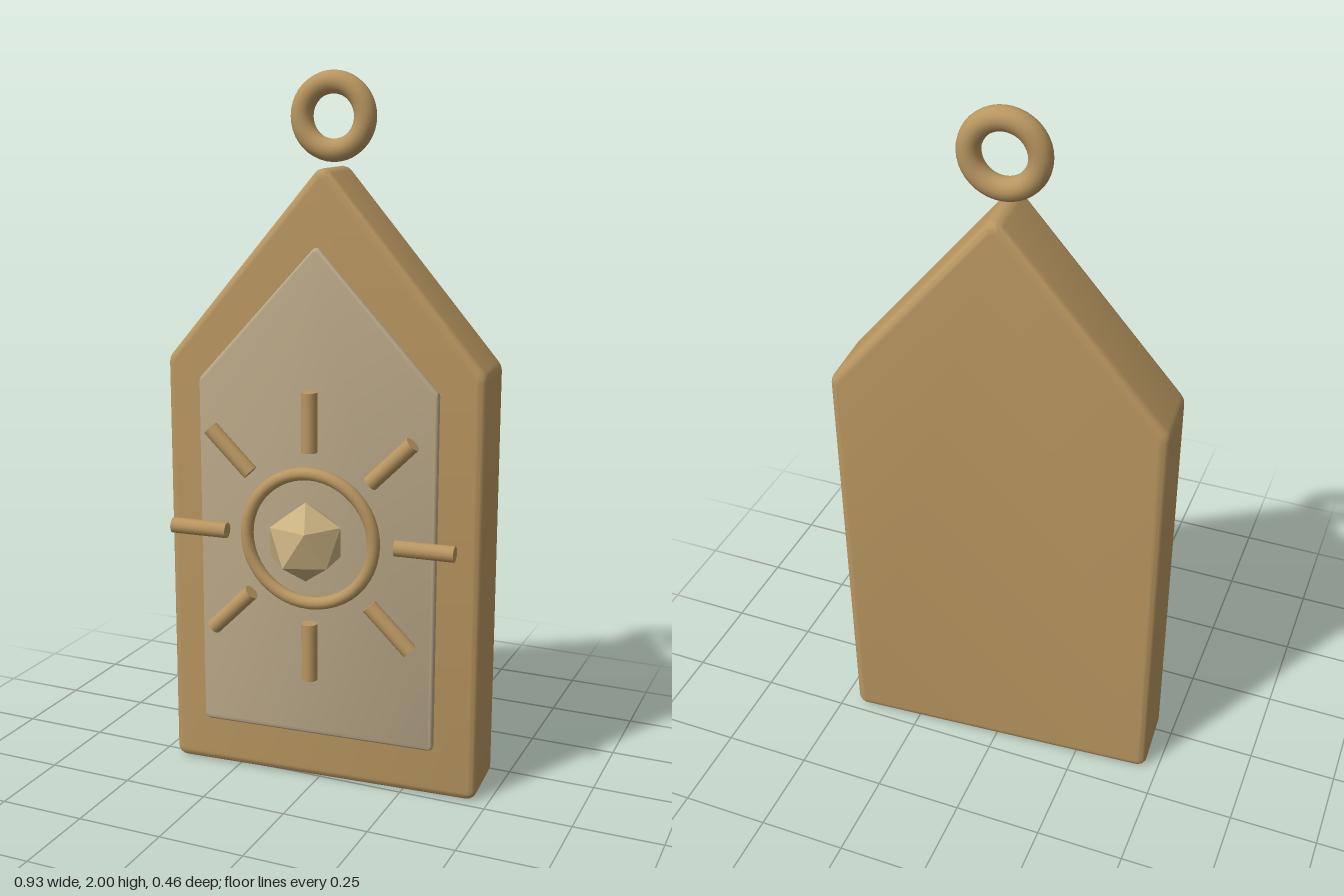
import * as THREE from 'three';
import { toCreasedNormals } from 'three/addons/utils/BufferGeometryUtils.js';

// House-shaped outline, inset by b, with softly rounded corners
function houseShape(half, bottom, shoulder, apex, b, r) {
  const slope = (apex - shoulder) / half;
  const w = half - b;
  const top = apex - b * Math.hypot(1, slope);
  const side = top - slope * w;
  const pts = [[-w, bottom + b], [w, bottom + b], [w, side], [0, top], [-w, side]]
    .map(([x, y]) => new THREE.Vector2(x, y));
  const shape = new THREE.Shape();
  pts.forEach((p, i) => {
    const prev = pts[(i + 4) % 5], next = pts[(i + 1) % 5];
    const a = prev.clone().sub(p).setLength(r).add(p);
    const c = next.clone().sub(p).setLength(r).add(p);
    if (i === 0) shape.moveTo(a.x, a.y);
    else shape.lineTo(a.x, a.y);
    shape.quadraticCurveTo(p.x, p.y, c.x, c.y);
  });
  shape.closePath();
  return shape;
}

// Slab with rounded edges, centred on z = 0
function houseSlab(half, bottom, shoulder, apex, depth, b, r) {
  const geo = new THREE.ExtrudeGeometry(houseShape(half, bottom, shoulder, apex, b, r), {
    depth: depth - 2 * b, bevelEnabled: true, bevelSize: b, bevelThickness: b,
    bevelSegments: 5, curveSegments: 4,
  });
  geo.translate(0, 0, b - depth / 2);
  return toCreasedNormals(geo, 0.6);
}

export function createModel() {
  const brass = new THREE.MeshStandardMaterial({ color: 0xb89660 });
  brass.name = 'brass';
  const stone = new THREE.MeshStandardMaterial({ color: 0xbaa888 });
  stone.name = 'paleStone';
  const crystal = new THREE.MeshStandardMaterial({ color: 0xc8b080, flatShading: true });
  crystal.name = 'crystal';

  const model = new THREE.Group();
  model.name = 'pendant';
  const add = (name, geo, mat, x, y, z, parent = model) => {
    const mesh = new THREE.Mesh(geo, mat);
    mesh.name = name;
    mesh.position.set(x, y, z);
    parent.add(mesh);
    return mesh;
  };

  // Plaque, inlaid panel and hanging loop
  add('plaque', houseSlab(0.46, 0, 1.215, 1.762, 0.21, 0.025, 0.008), brass, 0, 0, 0);
  add('panel', houseSlab(0.345, 0.155, 1.17, 1.548, 0.026, 0.012, 0.004), stone, 0, 0, 0.136);
  add('hangingLoop', new THREE.TorusGeometry(0.09, 0.031, 16, 40), brass, 0, 1.88, 0);

  // Sun emblem: ring, eight rays and a faceted gem
  const sun = new THREE.Group();
  sun.name = 'sunEmblem';
  sun.position.set(0, 0.753, 0.194);
  model.add(sun);
  add('sunRing', new THREE.TorusGeometry(0.184, 0.018, 12, 48), brass, 0, 0, 0, sun);

  const rayGeo = new THREE.CylinderGeometry(0.022, 0.022, 0.165, 16);
  for (let i = 0; i < 8; i++) {
    const a = (i * Math.PI) / 4;
    const ray = add('ray', rayGeo, brass, Math.cos(a) * 0.327, Math.sin(a) * 0.327, 0, sun);
    ray.rotation.z = a - Math.PI / 2;
  }

  // A gem corner points straight up
  const gem = add('gem', new THREE.IcosahedronGeometry(0.112, 0), crystal, 0, 0, 0.031, sun);
  gem.rotation.z = -0.5536;

  // The whole pendant hangs slightly turned
  model.rotation.y = 0.07;
  model.position.z = -0.094;
  const root = new THREE.Group();
  root.name = 'model';
  root.add(model);
  return root;
}
